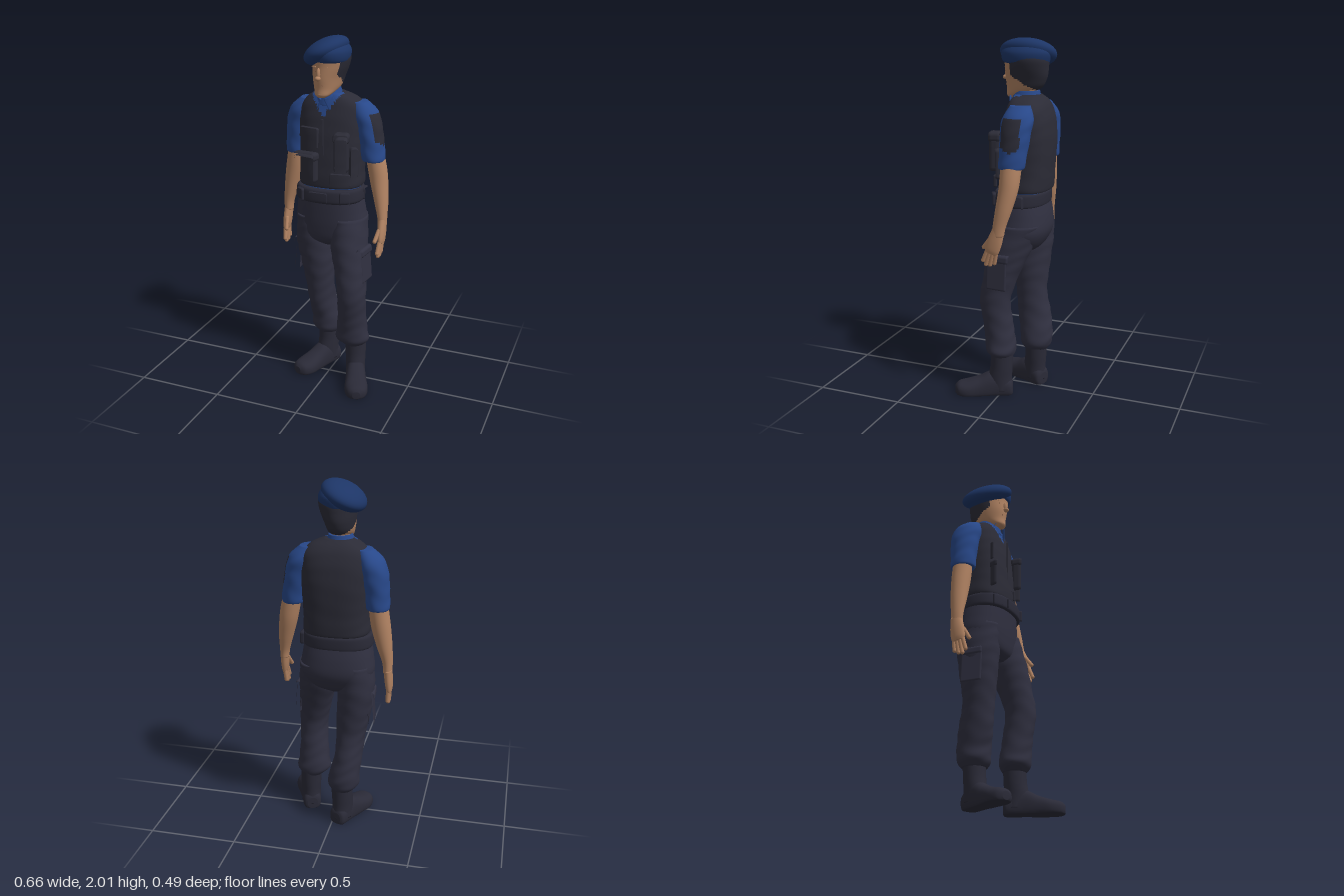
import * as THREE from 'three';
import { RoundedBoxGeometry } from 'three/addons/geometries/RoundedBoxGeometry.js';

const paint = (name, color) => {
  const m = new THREE.MeshStandardMaterial({ color });
  m.name = name;
  return m;
};

// Catmull-Rom blend of one value
const blend = (a, b, c, d, t) =>
  0.5 * (2 * b + (c - a) * t + (2 * a - 5 * b + 4 * c - d) * t * t + (3 * b - a - 3 * c + d) * t * t * t);

// Smooth closed body through sections [y, centreX, centreZ, radiusX, radiusZ], lowest first.
// power < 1 squares the outline, fold adds cloth wrinkles, pick(x, y, z) chooses the material index.
function loft(sections, { n = 36, steps = 7, power = 1, fold = 0, pick = () => 0 } = {}) {
  const S = sections, rows = [], pos = [];
  for (let i = 0; i < S.length - 1; i++) {
    for (let k = 0; k < steps || (i === S.length - 2 && k === steps); k++) {
      const p = [S[Math.max(i - 1, 0)], S[i], S[i + 1], S[Math.min(i + 2, S.length - 1)]];
      rows.push(S[0].map((_, c) => blend(p[0][c], p[1][c], p[2][c], p[3][c], k / steps)));
    }
  }
  const round = (v) => Math.sign(v) * Math.abs(v) ** power;
  for (const [y, cx, cz, rx, rz] of rows) {
    for (let j = 0; j < n; j++) {
      const a = (j / n) * Math.PI * 2;
      const f = 1 + fold * (Math.sin(y * 70 + 2 * Math.sin(a * 2 + y * 9)) + 0.6 * Math.sin(a * 5 + y * 25));
      pos.push(cx + rx * f * round(Math.cos(a)), y, cz + rz * f * round(Math.sin(a)));
    }
  }
  const last = rows.length - 1, base = pos.length / 3;
  for (const r of [rows[0], rows[last]]) pos.push(r[1], r[0], r[2]);
  const lists = [[], [], []];
  const add = (...ids) => {
    const mid = [0, 1, 2].map((c) => ids.reduce((s, i) => s + pos[i * 3 + c], 0) / ids.length);
    const list = lists[pick(...mid)];
    list.push(ids[0], ids[1], ids[2]);
    if (ids.length === 4) list.push(ids[2], ids[1], ids[3]);
  };
  for (let j = 0; j < n; j++) {
    const k = (j + 1) % n;
    for (let i = 0; i < last; i++) add(i * n + j, (i + 1) * n + j, i * n + k, (i + 1) * n + k);
    add(base, j, k);
    add(base + 1, last * n + k, last * n + j);
  }
  const g = new THREE.BufferGeometry();
  g.setAttribute('position', new THREE.Float32BufferAttribute(pos, 3));
  g.setIndex(lists.flat());
  let start = 0;
  lists.forEach((l, i) => {
    if (l.length) g.addGroup(start, l.length, i);
    start += l.length;
  });
  g.computeVertexNormals();
  return g;
}

export function createModel() {
  const model = new THREE.Group();
  const vestCloth = paint('vest black', 0x2b2b36);
  const trouserCloth = paint('trouser navy', 0x303040);
  const shirtCloth = paint('shirt blue', 0x28488a);
  const beretCloth = paint('beret blue', 0x1d3566);
  const skin = paint('skin', 0xb08262);
  const leather = paint('boot leather', 0x2a2a37);
  const shade = paint('face detail', 0x6b4838);

  const put = (name, geo, mat, parent = model) => {
    const m = new THREE.Mesh(geo, Array.isArray(mat) || !geo.groups.length ? mat : [mat, mat, mat]);
    m.name = name;
    parent.add(m);
    return m;
  };
  const box = (name, w, h, d, x, y, z, mat, ry = 0, rz = 0, parent = model) => {
    const m = put(name, new RoundedBoxGeometry(w, h, d, 3, Math.min(w, h, d) * 0.4), mat, parent);
    m.position.set(x, y, z);
    m.rotation.set(0, ry, rz);
    return m;
  };
  const ball = (name, rx, ry, rz, x, y, z, mat, parent) => {
    const m = put(name, new THREE.SphereGeometry(1, 32, 20), mat, parent);
    m.scale.set(rx, ry, rz);
    m.position.set(x, y, z);
    return m;
  };

  // Torso: shirt, vest with open V neck, collar
  put('shirtWaist', loft([[1.12, -0.015, -0.07, 0.175, 0.135], [1.2, -0.01, -0.075, 0.175, 0.13],
    [1.26, -0.01, -0.08, 0.16, 0.12]], { power: 0.85, fold: 0.006 }), shirtCloth);
  put('vest', loft([[1.185, -0.012, -0.08, 0.165, 0.125], [1.195, -0.012, -0.08, 0.184, 0.143],
    [1.3, -0.012, -0.085, 0.182, 0.145], [1.45, -0.012, -0.095, 0.188, 0.143], [1.56, -0.012, -0.1, 0.19, 0.13],
    [1.63, -0.012, -0.1, 0.18, 0.112], [1.675, -0.015, -0.095, 0.14, 0.092], [1.705, -0.025, -0.085, 0.075, 0.07]],
  { n: 72, power: 0.8, fold: 0.004,
    pick: (x, y, z) => (y > 1.58 && z > -0.08 && Math.abs(x + 0.03) < (y - 1.58) * 0.75 ? 1 : 0) }),
  [vestCloth, shirtCloth]);
  put('collar', loft([[1.64, -0.03, -0.075, 0.09, 0.085], [1.69, -0.03, -0.075, 0.076, 0.078],
    [1.725, -0.03, -0.08, 0.064, 0.066]]), shirtCloth);
  for (const s of [-1, 1]) {
    box('collarFlap', 0.05, 0.075, 0.014, -0.03 + s * 0.042, 1.655, 0.008, shirtCloth, s * 0.5, s * 0.45);
  }

  // Vest pouches and zip
  box('lowerPouch', 0.145, 0.155, 0.06, -0.115, 1.29, 0.06, vestCloth, -0.25);
  box('lowerPouchFlap', 0.152, 0.05, 0.066, -0.115, 1.36, 0.062, vestCloth, -0.25, 0.05);
  box('chestPocket', 0.12, 0.12, 0.03, -0.105, 1.46, 0.035, vestCloth, -0.2);
  box('tallPouch', 0.085, 0.2, 0.075, 0.095, 1.385, 0.062, vestCloth, 0.2);
  box('tallPouchFlap', 0.092, 0.06, 0.08, 0.095, 1.48, 0.063, vestCloth, 0.2);
  box('sidePouch', 0.05, 0.17, 0.06, 0.15, 1.34, 0.02, vestCloth, 0.6);
  box('lowerPocket', 0.12, 0.07, 0.025, 0.085, 1.24, 0.055, vestCloth, 0.15);
  box('zip', 0.016, 0.37, 0.012, -0.022, 1.39, 0.054, vestCloth);

  // Belt and buckle
  put('belt', loft([[1.1, -0.015, -0.06, 0.188, 0.142], [1.115, -0.015, -0.06, 0.197, 0.15],
    [1.165, -0.015, -0.062, 0.194, 0.15], [1.18, -0.015, -0.064, 0.184, 0.142]], { power: 0.85 }), leather);
  box('buckle', 0.11, 0.06, 0.022, -0.035, 1.135, 0.087, leather);
  for (const [x, z, r] of [[-0.15, 0.055, -0.6], [0.115, 0.062, 0.5], [0.175, -0.1, 1.5]]) {
    box('beltPouch', 0.06, 0.075, 0.035, x, 1.135, z, leather, r);
  }

  // Trousers
  put('trouserSeat', loft([[0.83, -0.01, -0.06, 0.05, 0.07], [0.87, -0.01, -0.065, 0.16, 0.115],
    [0.95, -0.012, -0.078, 0.208, 0.142], [1.04, -0.015, -0.075, 0.2, 0.145], [1.13, -0.015, -0.065, 0.185, 0.138]],
  { power: 0.88 }), trouserCloth);
  put('leftTrouserLeg', loft([[0.23, 0.158, 0, 0.066, 0.064], [0.265, 0.152, 0.008, 0.098, 0.086],
    [0.32, 0.15, 0.012, 0.092, 0.086], [0.42, 0.152, 0.025, 0.083, 0.085], [0.56, 0.155, 0.042, 0.083, 0.088],
    [0.7, 0.138, 0.015, 0.094, 0.1], [0.85, 0.112, -0.028, 0.106, 0.122], [1, 0.1, -0.07, 0.1, 0.13]],
  { fold: 0.016 }), trouserCloth);
  put('rightTrouserLeg', loft([[0.22, -0.055, -0.13, 0.066, 0.07], [0.255, -0.06, -0.13, 0.09, 0.092],
    [0.32, -0.065, -0.13, 0.088, 0.095], [0.42, -0.083, -0.11, 0.08, 0.098], [0.56, -0.094, -0.088, 0.084, 0.09],
    [0.7, -0.108, -0.082, 0.098, 0.104], [0.85, -0.122, -0.08, 0.104, 0.122], [1, -0.118, -0.08, 0.1, 0.128]],
  { fold: 0.016 }), trouserCloth);
  box('leftCargoPocket', 0.035, 0.2, 0.13, 0.217, 0.74, 0.005, trouserCloth, -0.1, 0.08);
  box('leftCargoFlap', 0.042, 0.05, 0.14, 0.214, 0.82, 0, trouserCloth, -0.1, 0.08);
  box('rightCargoPocket', 0.035, 0.2, 0.13, -0.205, 0.74, -0.07, trouserCloth, 0.1, -0.08);
  box('rightCargoFlap', 0.042, 0.05, 0.14, -0.21, 0.82, -0.07, trouserCloth, 0.1, -0.08);

  // Boots: upright shaft and a flat-soled foot turned outwards
  const boot = (side, x, z, turn) => {
    const g = new THREE.Group();
    g.name = side + 'Boot';
    g.position.set(x, 0, z);
    g.rotation.y = turn;
    model.add(g);
    put('shaft', loft([[0.03, 0, 0.005, 0.056, 0.066], [0.1, 0, 0.012, 0.057, 0.068], [0.17, 0, 0.005, 0.06, 0.064],
      [0.27, 0, 0, 0.062, 0.064]]), leather, g);
    const foot = loft([[-0.06, 0, -0.035, 0.03, 0.035], [-0.04, 0, -0.04, 0.052, 0.06], [0.05, 0, -0.05, 0.056, 0.085],
      [0.13, 0, -0.035, 0.062, 0.067], [0.2, 0, -0.025, 0.068, 0.054], [0.25, 0, -0.025, 0.053, 0.042],
      [0.272, 0, -0.025, 0.022, 0.022]], { power: 0.85 });
    foot.rotateX(Math.PI / 2);
    const p = foot.attributes.position;
    for (let i = 0; i < p.count; i++) p.setY(i, Math.max(p.getY(i), 0));
    foot.computeVertexNormals();
    put('foot', foot, leather, g);
  };
  boot('left', 0.168, -0.005, 0.37);
  boot('right', -0.05, -0.135, -0.42);

  // Sleeves, the left one with a dark arm patch
  put('leftSleeve', loft([[1.335, 0.232, -0.085, 0.055, 0.06], [1.345, 0.23, -0.085, 0.066, 0.072],
    [1.42, 0.218, -0.09, 0.069, 0.076], [1.52, 0.198, -0.095, 0.074, 0.084], [1.6, 0.172, -0.1, 0.074, 0.084],
    [1.66, 0.14, -0.1, 0.045, 0.055]],
  { n: 48, fold: 0.014, pick: (x, y, z) => (x > 0.21 && y > 1.42 + Math.abs(z + 0.09) * 0.5 && y < 1.6 && z < -0.03 && z > -0.14 ? 1 : 0) }),
  [shirtCloth, vestCloth]);
  put('rightSleeve', loft([[1.335, -0.243, -0.12, 0.055, 0.06], [1.345, -0.242, -0.12, 0.066, 0.072],
    [1.42, -0.236, -0.12, 0.069, 0.076], [1.52, -0.222, -0.12, 0.076, 0.084], [1.6, -0.2, -0.115, 0.073, 0.083],
    [1.66, -0.165, -0.11, 0.045, 0.055]], { n: 48, fold: 0.014 }), shirtCloth);

  // Bare forearms
  put('leftForearm', loft([[0.98, 0.306, -0.036, 0.025, 0.035], [1.03, 0.302, -0.043, 0.028, 0.037],
    [1.12, 0.287, -0.062, 0.041, 0.046], [1.22, 0.267, -0.08, 0.051, 0.053], [1.3, 0.252, -0.086, 0.054, 0.056],
    [1.4, 0.23, -0.088, 0.052, 0.056]]), skin);
  put('rightForearm', loft([[0.97, -0.303, -0.115, 0.025, 0.035], [1.03, -0.3, -0.115, 0.029, 0.037],
    [1.12, -0.283, -0.118, 0.043, 0.046], [1.22, -0.264, -0.12, 0.053, 0.053], [1.3, -0.252, -0.12, 0.054, 0.056],
    [1.4, -0.24, -0.12, 0.052, 0.056]]), skin);

  // Relaxed hands: palm, four fingers, thumb
  const hand = (s, x, y, z, pitch) => {
    const g = new THREE.Group();
    g.name = s > 0 ? 'leftHand' : 'rightHand';
    g.position.set(x, y, z);
    g.rotation.set(pitch, 0, s * 0.06);
    model.add(g);
    put('palm', loft([[-0.125, 0, 0, 0.013, 0.036], [-0.1, 0, 0, 0.019, 0.042], [-0.05, 0, 0, 0.023, 0.042],
      [0.015, 0, 0, 0.024, 0.034]], { n: 24 }), skin, g);
    const finger = (len, px, py, pz, rx, rz) => {
      const f = put('finger', new THREE.CapsuleGeometry(0.0115, len, 6, 12), skin, g);
      f.position.set(px, py, pz);
      f.rotation.set(rx, 0, rz);
    };
    [0.06, 0.078, 0.085, 0.07].forEach((len, i) =>
      finger(len, -s * 0.006, -0.112 - len / 2, -0.03 + i * 0.02, (1.5 - i) * 0.07, -s * 0.12));
    finger(0.065, -s * 0.015, -0.085, 0.045, -0.35, -s * 0.2);
  };
  hand(1, 0.306, 1, -0.036, -0.3);
  hand(-1, -0.305, 0.975, -0.115, -0.15);

  // Neck and head, turned a little to its right; dark hair covers sides and back
  put('neck', loft([[1.62, -0.03, -0.08, 0.06, 0.062], [1.7, -0.03, -0.075, 0.056, 0.06],
    [1.78, -0.03, -0.07, 0.056, 0.06]]), skin);
  const head = new THREE.Group();
  head.name = 'head';
  head.position.set(-0.03, 0, -0.065);
  head.rotation.y = -0.12;
  model.add(head);
  put('skull', loft([[1.685, 0, 0.078, 0.022, 0.022], [1.7, 0, 0.063, 0.044, 0.046], [1.735, 0, 0.01, 0.066, 0.098],
    [1.79, 0.002, -0.006, 0.08, 0.12], [1.85, 0.01, -0.013, 0.094, 0.125], [1.9, 0.014, -0.015, 0.098, 0.125],
    [1.95, 0.012, -0.015, 0.08, 0.1]],
  { n: 60, pick: (x, y, z) => (y > 1.725 && z < 0.05 - Math.max(0, 1.81 - y) * 1.6 ? 1 : 0) }), [skin, vestCloth], head);
  ball('noseBridge', 0.011, 0.034, 0.016, 0, 1.815, 0.112, skin, head);
  ball('noseTip', 0.016, 0.013, 0.018, 0, 1.792, 0.122, skin, head);
  ball('chin', 0.024, 0.016, 0.016, 0, 1.703, 0.094, skin, head);
  box('mouth', 0.042, 0.007, 0.008, 0, 1.752, 0.108, shade, 0, 0, head);
  for (const s of [-1, 1]) {
    box('eye', 0.024, 0.009, 0.008, s * 0.032, 1.828, 0.103, shade, s * 0.3, 0, head);
    box('brow', 0.032, 0.009, 0.009, s * 0.033, 1.85, 0.104, skin, s * 0.3, -s * 0.1, head);
  }

  // Beret: dark snug band and a blue crown drooping to one side
  put('beretBand', loft([[1.865, 0, -0.09, 0.06, 0.1], [1.88, -0.015, -0.075, 0.096, 0.13],
    [1.93, -0.01, -0.075, 0.096, 0.138], [1.975, 0, -0.075, 0.06, 0.1]]), beretCloth).rotation.x = 0;
  const crown = ball('beretCrown', 0.128, 0.066, 0.16, -0.047, 1.925, -0.075, beretCloth);
  crown.rotation.z = 0.47;
  return model;
}
